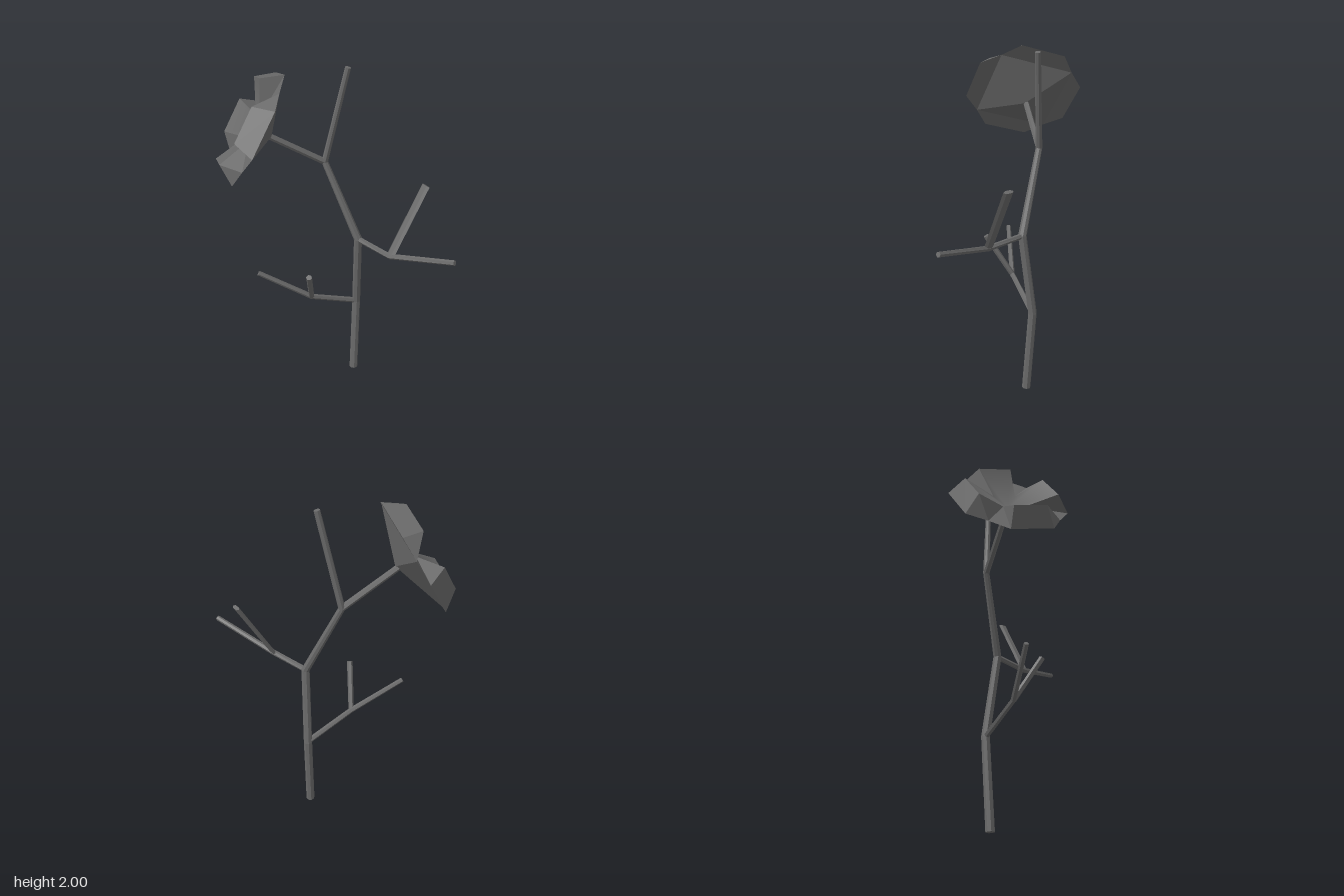
import * as THREE from 'three';
import { mergeVertices } from 'three/addons/utils/BufferGeometryUtils.js';

const V = (x, y, z) => new THREE.Vector3(x, y, z);
const color = 0x6a6a6a;
const flatMaterial = new THREE.MeshStandardMaterial({ color, flatShading: true });
const smoothMaterial = new THREE.MeshStandardMaterial({ color });

// Mesh from polygons (arrays of Vector3, counter-clockwise from outside)
function polygonMesh(name, polygons, smooth = false) {
  const pos = [];
  for (const p of polygons) {
    for (let i = 1; i < p.length - 1; i++) {
      for (const q of [p[0], p[i], p[i + 1]]) pos.push(q.x, q.y, q.z);
    }
  }
  let g = new THREE.BufferGeometry();
  g.setAttribute('position', new THREE.Float32BufferAttribute(pos, 3));
  if (smooth) g = mergeVertices(g);
  g.computeVertexNormals();
  const mesh = new THREE.Mesh(g, smooth ? smoothMaterial : flatMaterial);
  mesh.name = name;
  return mesh;
}

// Tapered stem swept along a polyline; flat < 1 squeezes it across the ref direction
function stem(name, points, radii, { sides = 6, ref = V(0.3, 0, 1), flat = 1 } = {}) {
  const last = points.length - 1;
  const rings = points.map((p, i) => {
    const t = V(0, 0, 0);
    if (i > 0) t.add(p.clone().sub(points[i - 1]).normalize());
    if (i < last) t.add(points[i + 1].clone().sub(p).normalize());
    t.normalize();
    const a = ref.clone().addScaledVector(t, -ref.dot(t)).normalize();
    const b = t.clone().cross(a);
    return Array.from({ length: sides }, (_, k) => {
      const w = (k / sides) * Math.PI * 2;
      return p.clone()
        .addScaledVector(a, radii[i] * Math.cos(w))
        .addScaledVector(b, radii[i] * flat * Math.sin(w));
    });
  });
  const polys = [[...rings[0]].reverse(), rings[last]];
  for (let i = 0; i < last; i++) {
    for (let k = 0; k < sides; k++) {
      const n = (k + 1) % sides;
      polys.push([rings[i][k], rings[i][n], rings[i + 1][n], rings[i + 1][k]]);
    }
  }
  return polygonMesh(name, polys);
}

// Four-petalled flower: smooth inner cup, folded petal tips, valleys between petals, pyramid back
function flower(center, axis, toward) {
  const n = axis.clone().normalize();
  const u = toward.clone().addScaledVector(n, -toward.dot(n)).normalize();
  const v = n.clone().cross(u);
  const at = (r, deg, h) => {
    const w = THREE.MathUtils.degToRad(deg);
    return center.clone()
      .addScaledVector(u, r * Math.cos(w))
      .addScaledVector(v, r * Math.sin(w))
      .addScaledVector(n, h);
  };
  const heart = at(0, 0, -0.03), back = at(0, 0, -0.1);
  const cup = [], petals = [];
  for (let i = 0; i < 4; i++) {
    const d = i * 90, e = d + 90;
    const n0 = at(0.095, d, 0.012), n1 = at(0.095, e, 0.012);
    const m0 = at(0.305, d, 0), m1 = at(0.305, e, 0);
    const fa = at(0.26, d + 22.5, 0.1), fb = at(0.26, d + 67.5, 0.1);
    const ta = at(0.337, d + 22.5, 0), tb = at(0.337, d + 67.5, 0);
    cup.push([heart, n0, fa, fb, n1]);
    petals.push(
      [fa, ta, tb, fb],
      [n0, m0, ta, fa], [fb, tb, m1, n1],
      [back, m1, m0], [m1, tb, ta, m0],
    );
  }
  const group = new THREE.Group();
  group.name = 'flower';
  group.add(polygonMesh('flowerCup', cup, true), polygonMesh('petals', petals));
  return group;
}

export function createModel() {
  const group = new THREE.Group();

  // Main stem with its joints
  const low = V(0.088, 0.52, -0.148), mid = V(0.1, 1.01, -0.087), high = V(-0.1, 1.46, -0.145);
  group.add(stem('mainStem',
    [V(0.082, 0.001, -0.115), low, mid, high, V(0.025, 1.997, -0.148)],
    [0.026, 0.025, 0.024, 0.019, 0.016], { sides: 8 }));

  // Lower branch and its twig
  const lowFork = V(-0.16, 0.64, 0.015);
  group.add(stem('lowerBranch', [low, lowFork, V(-0.455, 0.83, 0.09)], [0.017, 0.016, 0.014]));
  group.add(stem('lowerTwig', [lowFork, V(-0.14, 0.89, 0.17)], [0.016, 0.017], { ref: V(1, 0, 0) }));

  // Middle branch and its broad, flattened twig
  const midFork = V(0.3, 1.01, 0.065);
  group.add(stem('middleBranch', [mid, midFork, V(0.65, 1.12, 0.237)], [0.016, 0.016, 0.015]));
  group.add(stem('middleTwig', [midFork, V(0.465, 1.395, -0.075)], [0.029, 0.03],
    { ref: V(0.66, 0, 0.75), flat: 0.4 }));

  // Flower on its stalk
  group.add(stem('flowerStalk', [high, V(-0.38, 1.645, -0.028)], [0.018, 0.017]));
  group.add(flower(V(-0.446, 1.696, 0), V(-0.834, 0.504, 0.223), V(0.55, 0.77, 0.32)));

  return group;
}
